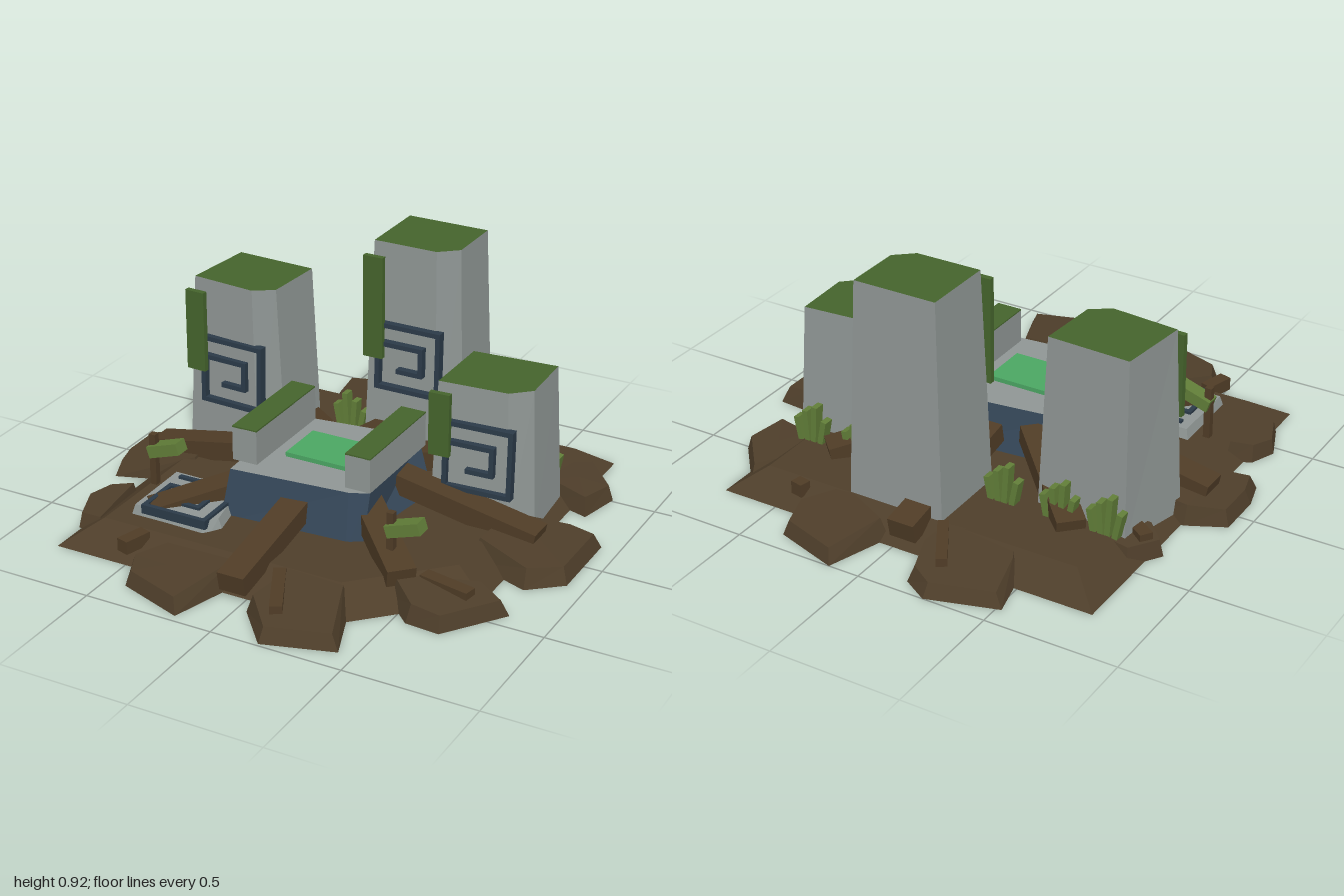
import * as THREE from 'three';

const mat = (name, color) => {
  const m = new THREE.MeshStandardMaterial({ color });
  m.name = name;
  return m;
};

// Faceted solid between two rings of [x, y, z]; group 0 = sides and base, group 1 = top
function loft(bottom, top) {
  let area = 0;
  bottom.forEach((p, i) => {
    const q = bottom[(i + 1) % bottom.length];
    area += p[0] * q[2] - q[0] * p[2];
  });
  const b = area > 0 ? [...bottom].reverse() : bottom;
  const t = area > 0 ? [...top].reverse() : top;
  const n = b.length;
  const mid = (r) => [0, 1, 2].map((k) => r.reduce((s, p) => s + p[k], 0) / n);
  const cb = mid(b), ct = mid(t), sides = [], cap = [];
  for (let i = 0; i < n; i++) {
    const j = (i + 1) % n;
    sides.push(...b[i], ...b[j], ...t[j], ...b[i], ...t[j], ...t[i], ...cb, ...b[j], ...b[i]);
    cap.push(...ct, ...t[i], ...t[j]);
  }
  const g = new THREE.BufferGeometry();
  g.setAttribute('position', new THREE.Float32BufferAttribute([...sides, ...cap], 3));
  g.addGroup(0, sides.length / 3, 0);
  g.addGroup(sides.length / 3, cap.length / 3, 1);
  g.computeVertexNormals();
  return g;
}
const ring = (pts, y) => pts.map(([x, z]) => [x, y, z]);

export function createModel() {
  const root = new THREE.Group();
  root.name = 'ruins';
  const earth = mat('earth brown', 0x4e3e2a);
  const wood = mat('wood brown', 0x4f3c26);
  const stone = mat('stone grey', 0x8f9694);
  const moss = mat('moss green', 0x45642c);
  const leaf = mat('leaf green', 0x617d38);
  const slate = mat('slate blue', 0x36485a);
  const groove = mat('dark slate', 0x2b3a48);
  const jade = mat('jade green', 0x4ba663);

  const add = (name, geo, material, parent = root) => {
    const m = new THREE.Mesh(geo, material);
    m.name = name;
    parent.add(m);
    return m;
  };
  const box = (name, size, pos, material, rot = [0, 0, 0], parent = root) => {
    const m = add(name, new THREE.BoxGeometry(...size), material, parent);
    m.position.set(...pos);
    m.rotation.set(...rot);
    return m;
  };

  // Ground plateau with one cut corner
  add('ground', loft(
    ring([[-0.79, -0.79], [0.72, -0.79], [0.72, 0.38], [0.34, 0.76], [-0.79, 0.76]], 0),
    ring([[-0.67, -0.68], [0.6, -0.68], [0.6, 0.33], [0.3, 0.63], [-0.67, 0.63]], 0.085)
  ), [earth, earth]);

  // Rock slabs around the rim, higher towards the middle
  const rocks = [
    [[-0.52, -0.92], [-0.26, -1], [-0.16, -0.94], [-0.11, -0.79], [-0.13, -0.66], [-0.42, -0.62], [-0.47, -0.71]],
    [[0.12, -1], [0.37, -0.92], [0.41, -0.78], [0.29, -0.63], [0.04, -0.75]],
    [[0.68, -0.69], [0.83, -0.51], [0.79, -0.34], [0.6, -0.4], [0.57, -0.58]],
    [[0.82, -0.17], [0.93, -0.16], [0.93, 0.15], [0.81, 0.25], [0.56, 0.16], [0.58, -0.1]],
    [[0.72, 0.36], [0.84, 0.43], [0.68, 0.65], [0.55, 0.64], [0.4, 0.5]],
    [[0.33, 0.62], [0.44, 0.91], [0.18, 0.99], [0.04, 0.83], [0.09, 0.62]],
    [[-0.07, 0.66], [-0.16, 0.97], [-0.42, 0.88], [-0.47, 0.77], [-0.39, 0.65]],
    [[-0.73, 0.32], [-0.7, 0.62], [-0.8, 0.61], [-0.86, 0.46], [-0.82, 0.36]],
    [[-0.94, -0.08], [-0.8, -0.15], [-0.62, -0.15], [-0.6, 0.1], [-0.91, 0.21], [-0.94, 0.1]],
    [[-0.83, -0.36], [-0.75, -0.48], [-0.63, -0.47], [-0.63, -0.3], [-0.75, -0.28]],
  ];
  rocks.forEach((pts) => {
    const cx = pts.reduce((s, p) => s + p[0], 0) / pts.length;
    const cz = pts.reduce((s, p) => s + p[1], 0) / pts.length;
    const top = pts.map(([x, z]) => [cx + (x - cx) * 0.86, 0.155 - 0.1 * Math.hypot(x, z), cz + (z - cz) * 0.86]);
    add('rimRock', loft(ring(pts, 0), top), [earth, earth]);
  });

  // Sloping beams radiating from the pedestal
  const slope = 0.19, inner = 0.2;
  for (let i = 0; i < 8; i++) {
    const outer = i % 2 ? 0.72 : 0.8;
    const pivot = new THREE.Group();
    pivot.name = 'beam';
    pivot.position.set(-0.035, 0, 0.01);
    pivot.rotation.y = (i * Math.PI) / 4;
    root.add(pivot);
    const r = (inner + outer) / 2;
    box('beamTimber', [outer - inner, 0.075, 0.105], [r, 0.262 - slope * r - 0.0375, 0], wood, [0, 0, -Math.atan(slope)], pivot);
  }

  // Loose planks and blocks on the rim
  [
    [-0.2, -0.78, 0.24, 0.04, -1.03], [0.13, 0.77, 0.26, 0.045, -1.1], [0.62, 0.465, 0.2, 0.05, -0.2],
    [-0.5, 0.7, 0.11, 0.05, 1.3], [0.435, -0.72, 0.05, 0.045, -0.2], [-0.73, -0.36, 0.12, 0.05, -0.6],
  ].forEach(([x, z, l, w, a]) => box('loosePlank', [l, 0.05, w], [x, 0.068, z], wood, [0, a, 0]));

  // Slate pedestal with a stone deck, two parapets and a jade tile
  add('pedestal', loft(
    ring([[-0.37, -0.15], [0.21, -0.2], [0.29, -0.1], [0.23, 0.35], [0.18, 0.38], [-0.32, 0.41]], 0.05),
    ring([[-0.31, -0.11], [0.18, -0.17], [0.2, -0.15], [0.24, 0.31], [0.17, 0.34], [-0.29, 0.38]], 0.262)
  ), [slate, stone]);
  [-0.268, 0.192].forEach((x) => {
    box('parapet', [0.1, 0.13, 0.43], [x, 0.33, 0.1], stone);
    box('parapetMoss', [0.1, 0.006, 0.43], [x, 0.397, 0.1], moss);
  });
  box('jadeTile', [0.255, 0.018, 0.2], [-0.037, 0.27, 0.1], jade);

  // Square spiral of bars in a local xy plane
  const spiralPath = [[-0.125, 0.125], [0.125, 0.125], [0.125, -0.125], [-0.125, -0.125],
    [-0.125, 0.05], [0.055, 0.05], [0.055, -0.05], [-0.035, -0.05]];
  function spiral(pos, rot) {
    const g = new THREE.Group();
    g.name = 'spiralRelief';
    g.position.set(...pos);
    g.rotation.set(...rot);
    root.add(g);
    for (let i = 1; i < spiralPath.length; i++) {
      const [ax, ay] = spiralPath[i - 1], [bx, by] = spiralPath[i];
      box('spiralBar', [Math.abs(bx - ax) + 0.018, Math.abs(by - ay) + 0.018, 0.035],
        [(ax + bx) / 2, (ay + by) / 2, 0], groove, [0, 0, 0], g);
    }
  }

  // Tapered towers: base ring, top ring, height, spiral centre, banner (x, y, z, height), yaw
  [
    { base: [[-0.715, -0.43], [-0.35, -0.4], [-0.365, -0.15], [-0.45, -0.08], [-0.76, -0.1]],
      top: [[-0.7, -0.4], [-0.38, -0.385], [-0.395, -0.14], [-0.47, -0.09], [-0.73, -0.115]],
      h: 0.742, spiral: [-0.555, 0.388, -0.086], banner: [-0.7, 0.545, -0.068, 0.32], yaw: -0.05 },
    { base: [[-0.135, -0.68], [0.25, -0.68], [0.25, -0.42], [0.17, -0.345], [-0.135, -0.345]],
      top: [[-0.105, -0.655], [0.22, -0.655], [0.22, -0.43], [0.15, -0.37], [-0.105, -0.37]],
      h: 0.915, spiral: [0.053, 0.472, -0.345], banner: [-0.085, 0.668, -0.328, 0.405], yaw: 0 },
    { base: [[0.3, -0.355], [0.67, -0.385], [0.685, -0.12], [0.61, -0.04], [0.31, -0.02]],
      top: [[0.325, -0.335], [0.65, -0.36], [0.66, -0.13], [0.59, -0.065], [0.325, -0.045]],
      h: 0.572, spiral: [0.492, 0.302, -0.038], banner: [0.35, 0.422, -0.01, 0.245], yaw: 0.05 },
  ].forEach((t) => {
    add('tower', loft(ring(t.base, 0.02), ring(t.top, t.h)), [stone, moss]);
    spiral(t.spiral, [-0.03, t.yaw, 0]);
    const [x, y, z, h] = t.banner;
    box('hangingMoss', [0.08, h, 0.022], [x, y, z], moss, [0, t.yaw, 0]);
  });

  // Fallen stone slab with a spiral on its face
  add('fallenSlab', loft(
    ring([[-0.62, 0.24], [-0.3, 0.25], [-0.24, 0.5], [-0.29, 0.58], [-0.61, 0.57]], 0.04),
    ring([[-0.595, 0.265], [-0.32, 0.27], [-0.27, 0.5], [-0.31, 0.55], [-0.59, 0.55]], 0.122)
  ), [stone, stone]);
  spiral([-0.425, 0.115, 0.425], [-Math.PI / 2, 0, 0]);

  // Leafy stakes at the front corners
  [[-0.655, 0.318, 0.055], [0.39, 0.437, 0]].forEach(([x, z, dx]) => {
    box('stakePost', [0.026, 0.23, 0.026], [x, 0.175, z], wood);
    box('stakeLeaf', [0.135, 0.045, 0.06], [x + 0.055, 0.242, z], leaf, [0, 0, 0.32]);
  });

  // Grass tufts along the back
  [-0.65, -0.465, -0.24, 0.365, 0.575].forEach((x) => {
    [0.1, 0.15, 0.125, 0.09].forEach((h, i) => {
      const k = i - 1.5;
      box('grassBlade', [0.022, h, 0.042], [x + k * 0.034, 0.08 + h / 2, -0.443], leaf, [0, 0, -k * 0.13]);
    });
  });

  return root;
}
